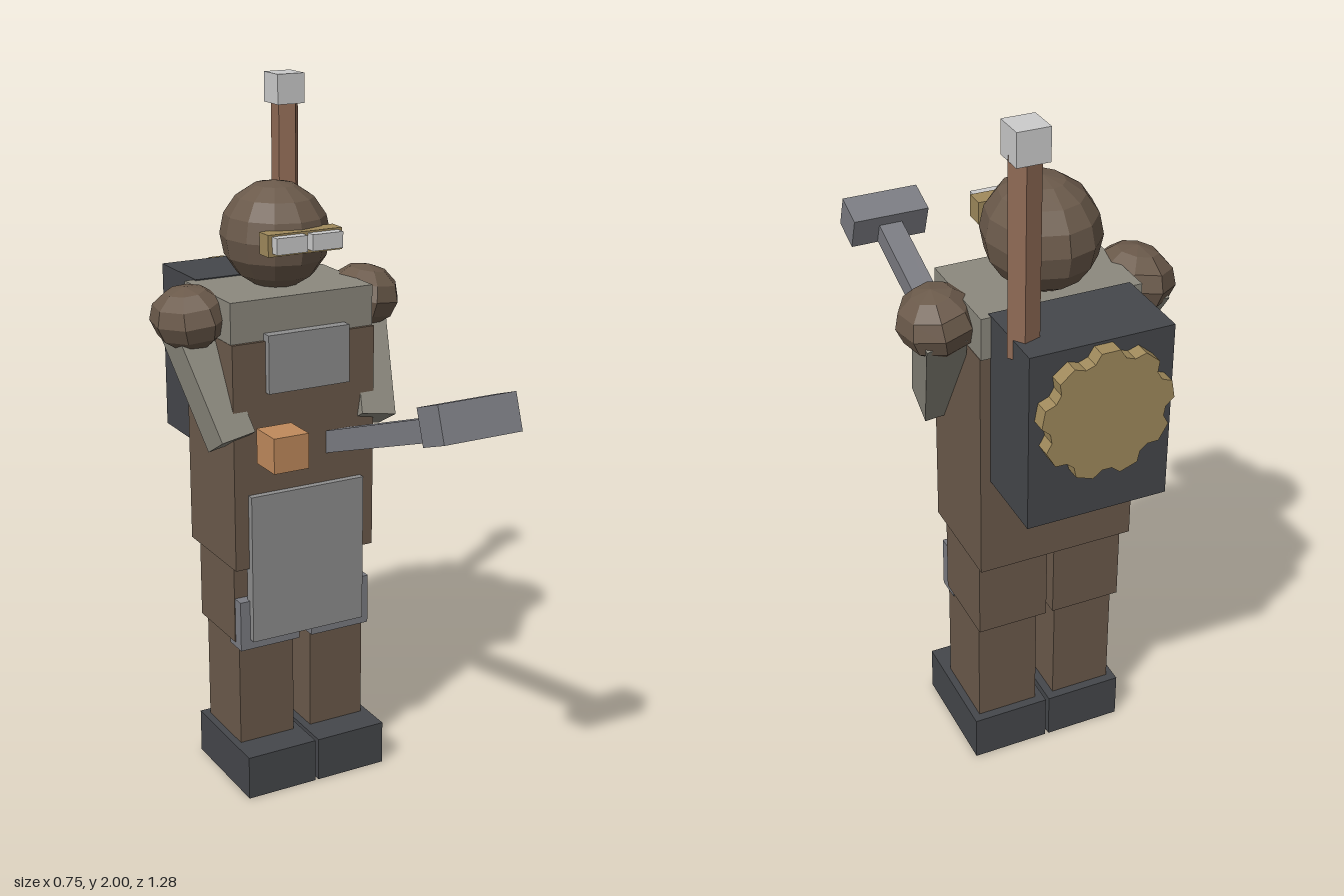
import * as THREE from 'three';

const mat = (color) => new THREE.MeshStandardMaterial({ color, flatShading: true });

export function createModel() {
  const model = new THREE.Group();
  const brown = mat(0x6b5a4b), dark = mat(0x45474b), cloth = mat(0x8c897e);
  const steel = mat(0x7b7c82), plate = mat(0x8e8e8e), light = mat(0xcccccc);
  const brass = mat(0xa08a5c), copper = mat(0xc08a5c), pipeMat = mat(0x8f6a55);

  const add = (name, geo, material, x = 0, y = 0, z = 0, parent = model) => {
    const mesh = new THREE.Mesh(geo, material);
    mesh.name = name;
    mesh.position.set(x, y, z);
    parent.add(mesh);
    return mesh;
  };
  // Box given by its extents on each axis
  const box = (name, material, x0, x1, y0, y1, z0, z1) =>
    add(name, new THREE.BoxGeometry(x1 - x0, y1 - y0, z1 - z0), material,
      (x0 + x1) / 2, (y0 + y1) / 2, (z0 + z1) / 2);
  // The same box on both sides, measured outward from the centre line
  const pair = (name, material, x0, x1, ...rest) => {
    box(name + 'Left', material, x0, x1, ...rest);
    box(name + 'Right', material, -x1, -x0, ...rest);
  };

  // Body
  box('torso', brown, -0.22, 0.22, 0.69, 1.345, -0.38, -0.085);
  box('collar', cloth, -0.219, 0.219, 1.345, 1.46, -0.385, -0.095);
  box('chestPlate', plate, -0.12, 0.13, 1.2, 1.365, -0.095, -0.065);
  box('apron', plate, -0.178, 0.178, 0.47, 0.91, -0.1, -0.065);
  box('pouch', copper, -0.18, -0.075, 1.025, 1.125, -0.025, 0.078);

  // Legs
  pair('thigh', brown, 0.01, 0.21, 0.455, 0.69, -0.345, -0.12);
  pair('kneePad', steel, 0.02, 0.208, 0.44, 0.59, -0.155, -0.085);
  pair('shin', brown, 0.028, 0.202, 0.13, 0.455, -0.32, -0.11);
  pair('boot', dark, 0.005, 0.223, 0, 0.132, -0.345, -0.015);

  // Head and goggles
  add('head', new THREE.SphereGeometry(0.15, 12, 8).scale(1, 1, 1.12), brown, 0, 1.595, -0.257);
  box('goggleBand', brass, -0.112, 0.112, 1.575, 1.635, -0.13, -0.078);
  pair('lens', light, 0.008, 0.1, 1.585, 1.63, -0.08, -0.05);

  // Shoulders and arms
  for (const [side, label] of [[1, 'Left'], [-1, 'Right']]) {
    const shoulder = add('shoulder' + label, new THREE.SphereGeometry(1, 8, 6), brown,
      side * 0.274, 1.397, -0.238);
    shoulder.scale.set(0.105, 0.088, 0.12);
    shoulder.rotation.set(0, side * -0.2, side * -0.15);
    const arm = add('arm' + label, new THREE.BoxGeometry(0.105, 0.38, 0.105), cloth,
      side * 0.252, 1.233, -0.19);
    arm.rotation.set(-0.52, 0, side * -0.17);
  }

  // Hammer, reaching forward and tilted upward
  const hammer = new THREE.Group();
  hammer.name = 'hammer';
  hammer.position.set(0.103, 1.28, 0.577);
  hammer.rotation.x = -0.345;
  model.add(hammer);
  add('hammerHandle', new THREE.BoxGeometry(0.07, 0.062, 0.74), steel, 0, -0.014, -0.39, hammer);
  add('hammerHead', new THREE.BoxGeometry(0.228, 0.1, 0.1), steel, 0, 0, 0, hammer);

  // Backpack with pipe and cap
  box('backpack', dark, -0.192, 0.192, 0.975, 1.463, -0.6, -0.37);
  const pipe = add('pipe', new THREE.CylinderGeometry(0.041, 0.041, 0.52, 5), pipeMat, 0.16, 1.67, -0.497);
  pipe.rotation.y = Math.PI / 2;
  box('pipeCap', light, 0.115, 0.2, 1.915, 2, -0.54, -0.455);

  // Nine-toothed gear on the back
  const teeth = 9, gear = new THREE.Shape();
  for (let i = 0; i < teeth; i++) {
    [[-0.2, 0.177], [0.2, 0.177], [0.38, 0.155], [0.62, 0.155]].forEach(([t, r], k) => {
      const a = ((i + t) / teeth) * Math.PI * 2;
      gear[i + k ? 'lineTo' : 'moveTo'](r * Math.sin(a), r * Math.cos(a));
    });
  }
  add('gear', new THREE.ExtrudeGeometry(gear, { depth: 0.045, bevelEnabled: false }), brass, 0, 1.28, -0.641);

  return model;
}
